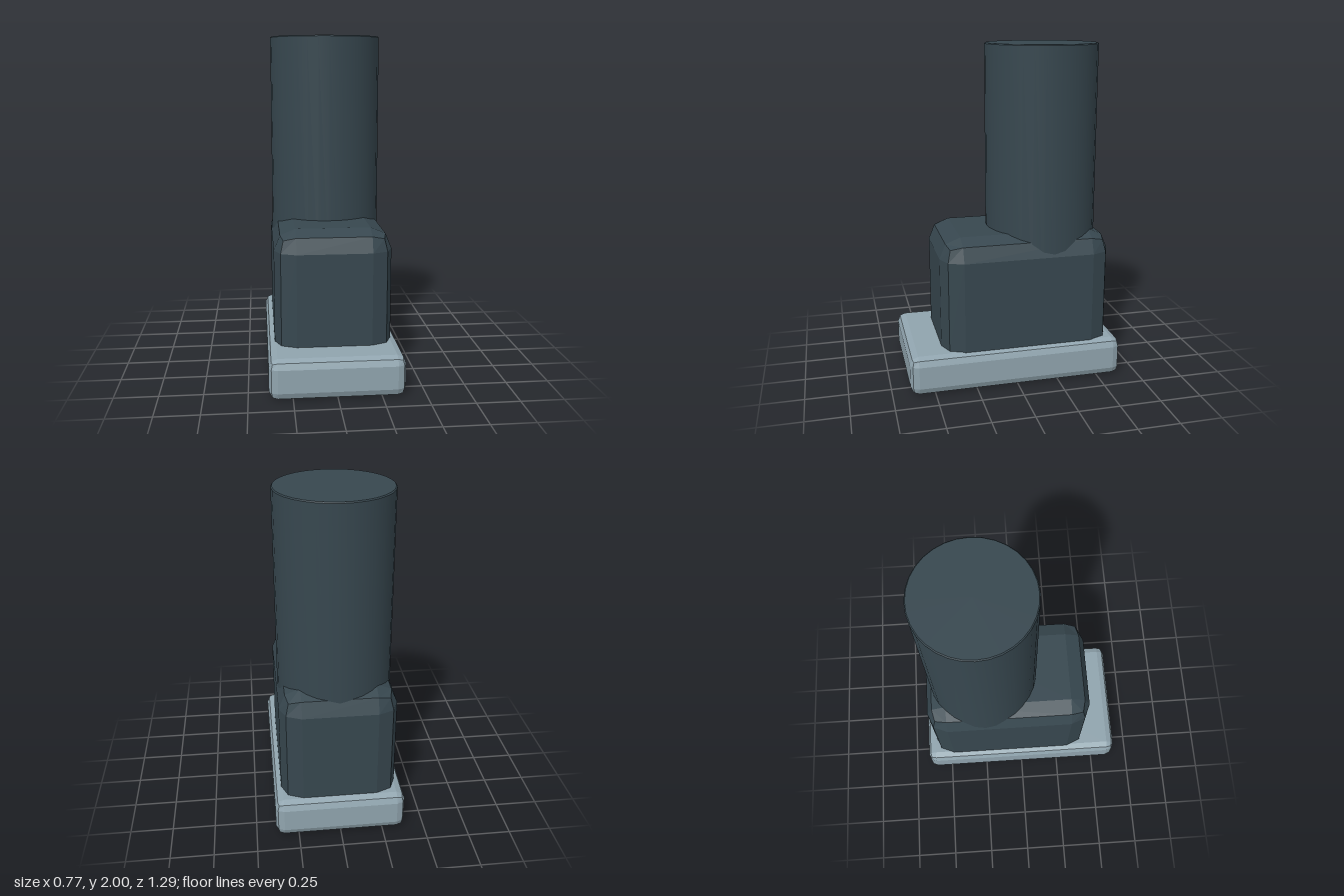
import * as THREE from 'three';
import { toCreasedNormals } from 'three/addons/utils/BufferGeometryUtils.js';
import { RoundedBoxGeometry } from 'three/addons/geometries/RoundedBoxGeometry.js';

const darkSlate = new THREE.MeshStandardMaterial({ name: 'dark slate', color: 0x37474f });
const paleSlate = new THREE.MeshStandardMaterial({ name: 'pale slate', color: 0x90a4ae });

// Box with two flat facets around every edge
function facetedBox(name, material, size, radius, y, z) {
  const geometry = new RoundedBoxGeometry(...size, 1, radius);
  geometry.computeVertexNormals();
  const mesh = new THREE.Mesh(geometry, material);
  mesh.name = name;
  mesh.position.set(0, y, z);
  return mesh;
}

export function createModel() {
  const model = new THREE.Group();
  model.name = 'columnOnBase';

  // Base slab and the block standing on it
  model.add(facetedBox('base', paleSlate, [0.77, 0.235, 1.29], 0.05, 0.1175, 0));
  model.add(facetedBox('body', darkSlate, [0.685, 0.805, 1.03], 0.125, 0.5025, -0.075));

  // Tall round column with a tiny chamfer at each end
  const r = 0.336, c = 0.006, bottom = 0.5, top = 2;
  const profile = [
    [0, bottom], [r - c, bottom], [r, bottom + c],
    [r, top - c], [r - c, top], [0, top],
  ].map(([x, y]) => new THREE.Vector2(x, y));
  const column = new THREE.Mesh(toCreasedNormals(new THREE.LatheGeometry(profile, 32), 0.5), darkSlate);
  column.name = 'column';
  column.position.z = -0.225;
  model.add(column);

  return model;
}
